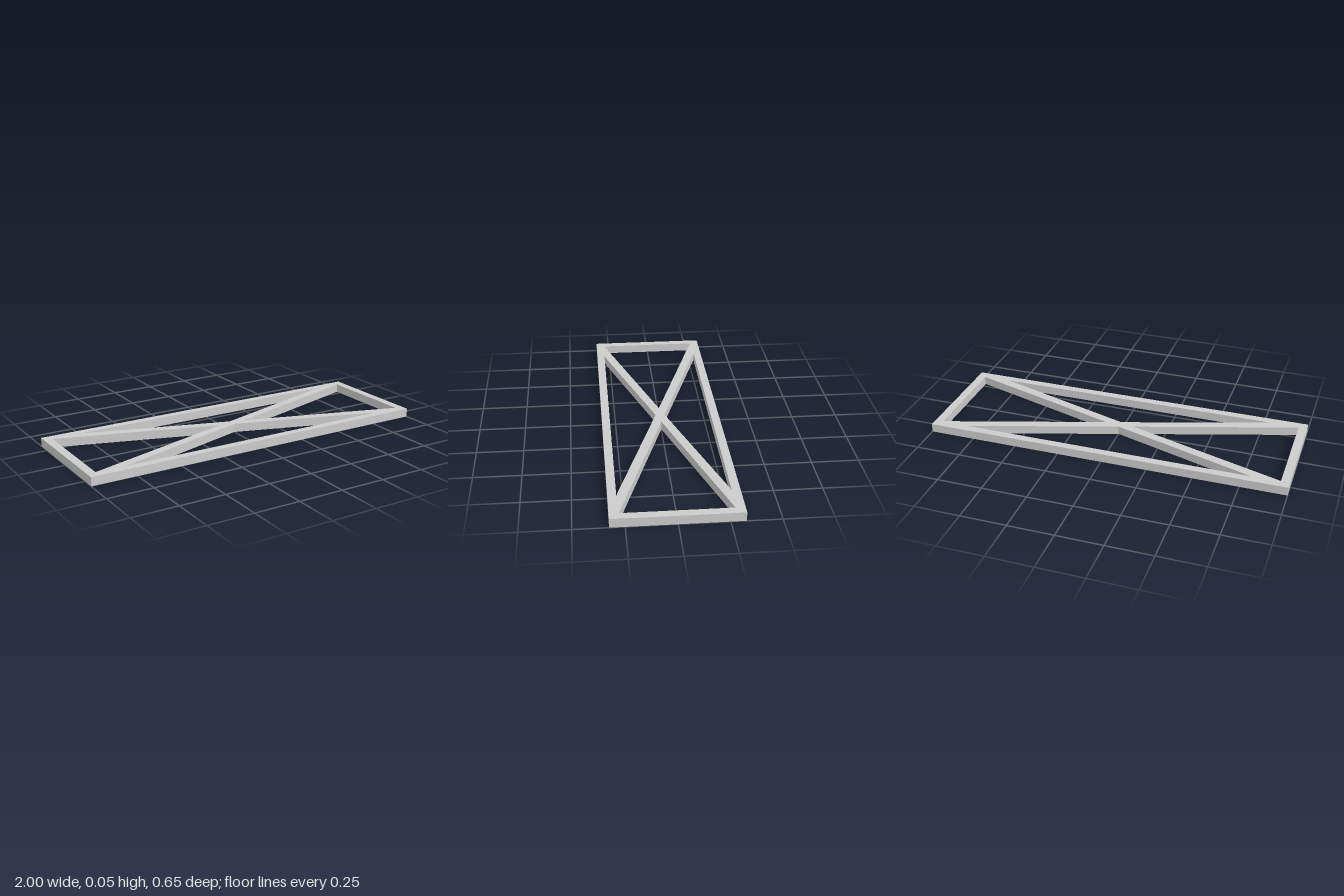
import * as THREE from 'three';

const HEIGHT = 0.048;
const HALF_X = 1, HALF_Z = 0.326;

// Closed outline from a short list of corner points
const outline = (points, Type) => new Type(points.map(([x, y]) => new THREE.Vector2(x, y)));

export function createModel() {
  const group = new THREE.Group();
  group.name = 'bracedFrame';

  // Outer rectangle of the frame
  const plan = outline(
    [[-HALF_X, -HALF_Z], [HALF_X, -HALF_Z], [HALF_X, HALF_Z], [-HALF_X, HALF_Z]],
    THREE.Shape
  );

  // Triangular openings left between the rails and the crossed braces
  for (const s of [-1, 1]) {
    plan.holes.push(outline([[s * 0.08, 0], [s * 0.954, 0.277], [s * 0.954, -0.277]], THREE.Path));
    plan.holes.push(outline([[0, s * 0.025], [0.8, s * 0.282], [-0.8, s * 0.282]], THREE.Path));
  }

  // Rails and diagonal braces as one flat slab, laid on the ground plane
  const geometry = new THREE.ExtrudeGeometry(plan, { depth: HEIGHT, bevelEnabled: false });
  geometry.rotateX(-Math.PI / 2);

  const frame = new THREE.Mesh(
    geometry,
    new THREE.MeshStandardMaterial({ color: 0xcccccc, flatShading: true })
  );
  frame.name = 'crossBracedFrame';
  group.add(frame);
  return group;
}
